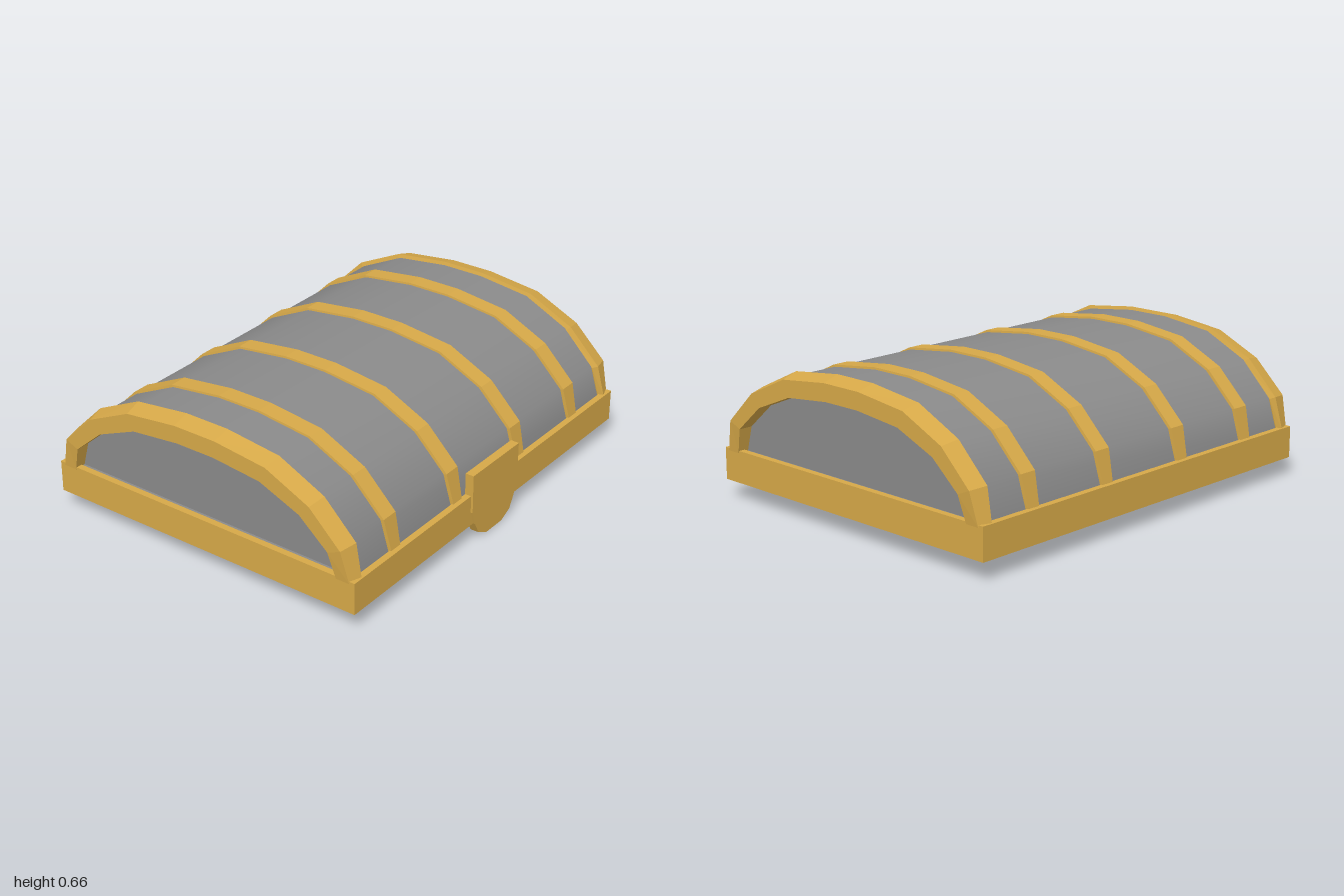
import * as THREE from 'three';
import { mergeVertices } from 'three/addons/utils/BufferGeometryUtils.js';

const BASE_Y = 0.22, Z_MID = -0.005;

// Half of the faceted arch, as fractions of half-depth and rise
const HALF = [[1, 0], [0.955, 0.34], [0.757, 0.69], [0.475, 0.927], [0.137, 1]];
const ARCH = [...HALF, ...HALF.slice().reverse().map(([z, y]) => [-z, y])];

// Sweeps a cross-section over the arch. Section points are [x, halfDepth, rise],
// ordered from +x to -x along the outside; feet narrow around centre by taper.
function archGeometry(section, closed, centre = 0, taper = 1) {
  const pos = [];
  const point = (i, j) => {
    const [x, depth, rise] = section[j % section.length];
    const foot = i === 0 || i === ARCH.length - 1;
    const px = foot ? centre + (x - centre) * taper : x;
    return [px, BASE_Y + ARCH[i][1] * rise, Z_MID + ARCH[i][0] * depth];
  };
  const count = closed ? section.length : section.length - 1;
  for (let i = 0; i < ARCH.length - 1; i++) {
    for (let j = 0; j < count; j++) {
      const a = point(i, j), b = point(i, j + 1), c = point(i + 1, j + 1), d = point(i + 1, j);
      pos.push(...a, ...d, ...c, ...a, ...c, ...b);
    }
  }
  const geo = new THREE.BufferGeometry();
  geo.setAttribute('position', new THREE.Float32BufferAttribute(pos, 3));
  return geo;
}

export function createModel() {
  const model = new THREE.Group();
  model.name = 'chestLid';
  const gold = new THREE.MeshStandardMaterial({ color: 0xd6a848, flatShading: true });
  gold.name = 'gold';
  const grey = new THREE.MeshStandardMaterial({ color: 0x8a8a8a });
  grey.name = 'grey';

  const add = (name, geo, mat) => {
    const mesh = new THREE.Mesh(geo, mat);
    mesh.name = name;
    model.add(mesh);
    return mesh;
  };

  // Rectangular rim, open in the middle
  const rect = (Type, w, d) => new Type([[-w, -d], [w, -d], [w, d], [-w, d]].map(p => new THREE.Vector2(...p)));
  const rim = rect(THREE.Shape, 0.985, 0.785);
  rim.holes.push(rect(THREE.Path, 0.955, 0.755));
  const rimGeo = new THREE.ExtrudeGeometry(rim, { depth: 0.145, bevelEnabled: false });
  rimGeo.rotateX(-Math.PI / 2).translate(0, 0.085, Z_MID);
  add('rim', rimGeo, gold);

  // Closed floor inside the rim
  add('floor', new THREE.BoxGeometry(1.912, 0.13, 1.512), grey).position.set(0, 0.157, Z_MID);

  // Smooth curved cover
  const cover = mergeVertices(archGeometry([[0.925, 0.75, 0.425], [-0.925, 0.75, 0.425]], false));
  cover.computeVertexNormals();
  add('cover', cover, grey);

  // Recessed end walls, as one solid under the cover
  const wall = new THREE.Shape(ARCH.map(([z, y]) => new THREE.Vector2(z * 0.725, y * 0.38)));
  const wallGeo = new THREE.ExtrudeGeometry(wall, { depth: 1.87, bevelEnabled: false });
  wallGeo.rotateY(Math.PI / 2).translate(-0.935, BASE_Y, Z_MID);
  add('endWalls', wallGeo, grey);

  // Heavy bevelled arches at both ends
  const endSection = [[1, 0.76, 0.418], [0.92, 0.78, 0.44], [0.908, 0.755, 0.41], [0.915, 0.695, 0.34], [1, 0.695, 0.34]];
  for (const side of [1, -1]) {
    let section = endSection.map(([x, d, r]) => [x * side, d, r]);
    if (side < 0) section = section.reverse();
    const geo = archGeometry(section, true, side * 0.955, 0.7);
    geo.computeVertexNormals();
    add(side > 0 ? 'leftEndArch' : 'rightEndArch', geo, gold);
  }

  // Four thin straps over the cover
  for (const x of [-0.68, -0.24, 0.24, 0.68]) {
    const geo = archGeometry([
      [x + 0.044, 0.735, 0.41], [x + 0.04, 0.765, 0.434],
      [x - 0.04, 0.765, 0.434], [x - 0.044, 0.735, 0.41],
    ], false, x, 0.75);
    geo.computeVertexNormals();
    add('strap', geo, gold);
  }

  // Latch plate hanging over the front of the rim
  const right = [[0.06, 0], [0.12, 0.03], [0.15, 0.085], [0.172, 0.15], [0.174, 0.33]];
  const outline = [...right, ...right.slice().reverse().map(([x, y]) => [-x, y])];
  const latch = new THREE.Shape(outline.map(p => new THREE.Vector2(...p)));
  const latchGeo = new THREE.ExtrudeGeometry(latch, { depth: 0.04, bevelEnabled: false });
  add('latch', latchGeo.translate(0, 0, 0.75), gold);

  return model;
}
